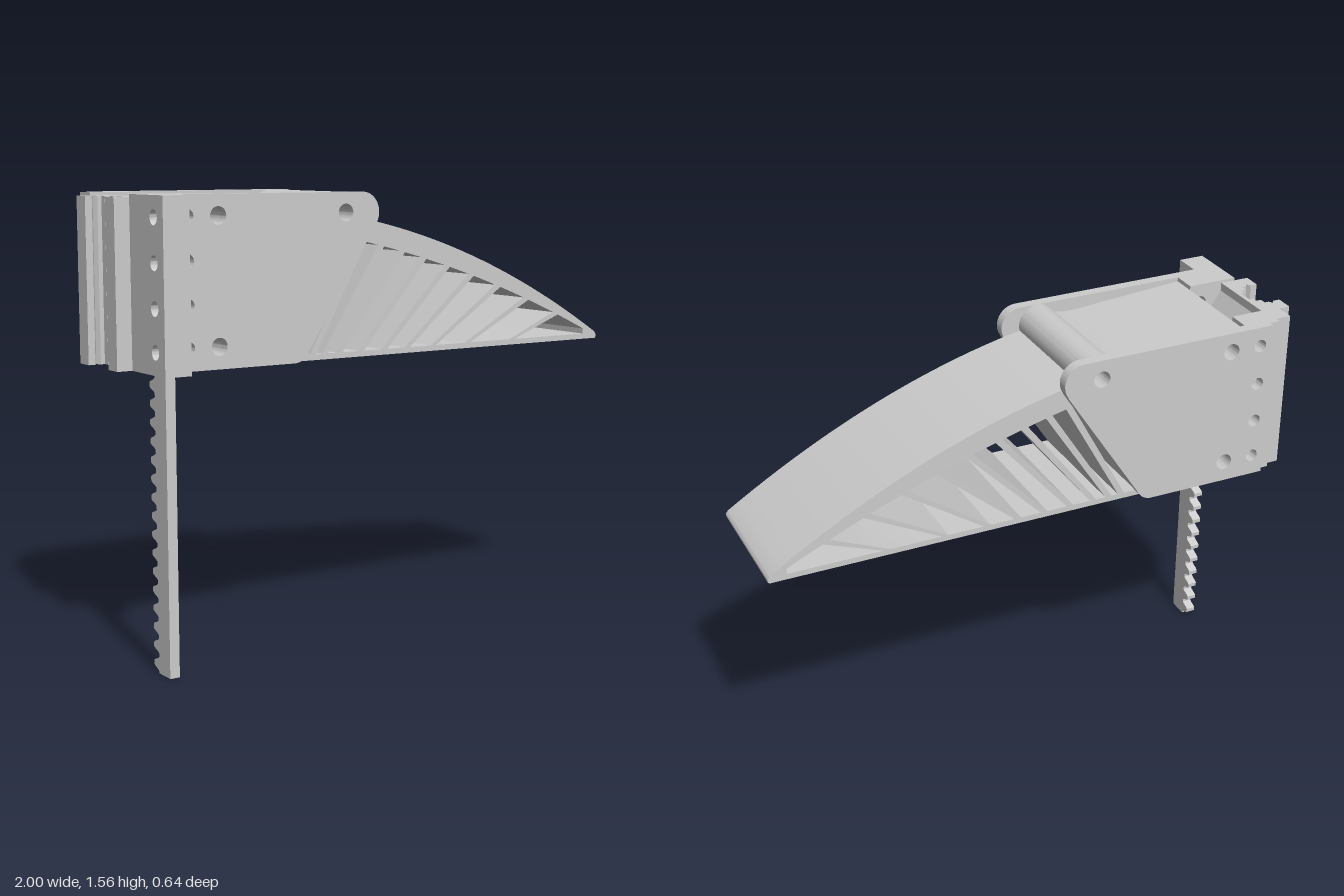
import * as THREE from 'three';
import { toCreasedNormals } from 'three/addons/utils/BufferGeometryUtils.js';

const material = new THREE.MeshStandardMaterial({ color: 0xcccccc });
const BOTTOM = 0.985, TOP = 1.56;
const SCREW_Y = [1.06, 1.2, 1.345, 1.49];

const poly = pts => new THREE.Shape(pts.map(p => new THREE.Vector2(...p)));
const rect = (x0, y0, x1, y1) => poly([[x0, y0], [x1, y0], [x1, y1], [x0, y1]]);
const drill = (shape, x, y, r) => {
  shape.holes.push(new THREE.Path().absarc(x, y, r, 0, Math.PI * 2, true));
  return shape;
};

export function createModel() {
  const group = new THREE.Group();

  // Extrude a shape between two positions along an axis.
  // 'z': shape is (x, y); 'x': shape is (-z, y); 'y': shape is (x, -z)
  function add(name, shape, axis, from, to) {
    let g = new THREE.ExtrudeGeometry(shape, { depth: to - from, bevelEnabled: false, curveSegments: 20 });
    g.translate(0, 0, from);
    if (axis === 'x') g.rotateY(Math.PI / 2);
    if (axis === 'y') g.rotateX(-Math.PI / 2);
    g = toCreasedNormals(g, 0.45);
    const mesh = new THREE.Mesh(g, material);
    mesh.name = name;
    group.add(mesh);
    return mesh;
  }

  // Finger: arched wedge with slanted ribs and a pin boss
  const outer = x => 1.46 - 0.295 * (x + 0.06) - 0.2025 * (x + 0.06) * (x - 0.33);
  const inner = x => 1.39 - 0.27 * (x + 0.1) - 0.128 * (x + 0.1) * (x - 0.27);
  const finger = new THREE.Shape();
  finger.moveTo(-0.76, BOTTOM);
  finger.lineTo(0.99, BOTTOM);
  finger.quadraticCurveTo(1.005, 0.995, 0.985, outer(0.985));
  for (let i = 1; i <= 24; i++) {
    const x = 0.985 - i / 24 * 1.105;
    finger.lineTo(x, outer(x));
  }
  finger.absarc(-0.19, 1.49, 0.07, -0.25, Math.PI * 0.85, false);
  finger.quadraticCurveTo(-0.3, 1.505, -0.42, 1.52);
  finger.lineTo(-0.76, 1.545);
  finger.closePath();
  // rib positions: [x at the floor, x under the arch]
  const ribs = [[-0.37, -0.14], [-0.30, -0.09], [-0.25, -0.015], [-0.19, 0.075], [-0.1, 0.17], [0, 0.275],
    [0.1, 0.385], [0.215, 0.51], [0.37, 0.645], [0.58, 0.79], [0.93, 0.95]];
  const floorY = 1.005;
  for (let i = 0; i < ribs.length - 1; i++) {
    const [b0, t0] = ribs[i], [b1, t1] = ribs[i + 1];
    const last = i === ribs.length - 2;
    const w = 0.012;
    const pts = [[b0 + w, floorY], [last ? b1 : b1 - w, floorY]];
    for (let k = 0; k <= 4; k++) {
      const x = THREE.MathUtils.lerp(last ? 0.93 : t1 - w, t0 + w, k / 4);
      pts.push([x, inner(x)]);
    }
    finger.holes.push(new THREE.Path(pts.map(p => new THREE.Vector2(...p))));
  }
  const pins = [[-0.69, 1.06], [-0.69, 1.49], [-0.19, 1.49]];
  pins.forEach(([x, y]) => drill(finger, x, y, 0.03));
  add('finger', finger, 'z', -0.28, 0.18);

  // Side plates with rounded nose and slanted front edge
  for (const [name, z] of [['frontSidePlate', 0.18], ['backSidePlate', -0.32]]) {
    const plate = new THREE.Shape();
    plate.moveTo(-0.85, BOTTOM);
    plate.lineTo(-0.4, BOTTOM);
    plate.quadraticCurveTo(-0.365, BOTTOM, -0.345, 1.02);
    plate.lineTo(-0.066, 1.445);
    plate.absarc(-0.122, 1.49, 0.07, -0.6, Math.PI / 2, false);
    plate.lineTo(-0.85, TOP);
    plate.closePath();
    pins.forEach(([x, y]) => drill(plate, x, y, 0.03));
    SCREW_Y.forEach(y => drill(plate, -0.805, y, 0.023));
    add(name, plate, 'z', z, z + 0.04);
  }

  // Mounting blocks just inside the side plates
  for (const [name, z0, z1] of [['frontBlock', 0.09, 0.18], ['backBlock', -0.28, -0.2]]) {
    const block = rect(-0.85, BOTTOM, -0.76, TOP);
    [SCREW_Y[1], SCREW_Y[3]].forEach(y => drill(block, -0.805, y, 0.023));
    add(name, block, 'z', z0, z1);
  }

  // Rear flange beside the rack, with counterbored holes
  for (const [r, x0, x1] of [[0.025, -0.945, -0.885], [0.043, -0.885, -0.85]]) {
    const flange = rect(-0.32, BOTTOM, -0.09, TOP);
    SCREW_Y.forEach(y => drill(flange, -0.255, y, r));
    add('rackFlange', flange, 'x', x0, x1);
  }

  // Stepped flange on the far side
  const backFlange = rect(0.2, BOTTOM, 0.28, TOP);
  SCREW_Y.forEach(y => drill(backFlange, 0.24, y, 0.022));
  add('backFlange', backFlange, 'x', -0.945, -0.85);
  add('backFlangeStep', rect(-0.89, 0.28, -0.85, 0.3), 'y', BOTTOM, TOP);

  // Toothed rack
  const teeth = 16, pitch = BOTTOM / teeth;
  const rack = new THREE.Shape();
  rack.moveTo(-0.32, 0);
  rack.lineTo(-0.245, 0);
  for (let i = 0; i < teeth; i++) {
    const y = i * pitch;
    [[-0.245, 0.1], [-0.235, 0.2], [-0.217, 0.3], [-0.21, 0.38], [-0.21, 0.62], [-0.217, 0.7],
      [-0.235, 0.8], [-0.245, 0.9]].forEach(([u, t]) => rack.lineTo(u, y + t * pitch));
  }
  rack.lineTo(-0.245, BOTTOM);
  rack.lineTo(-0.32, BOTTOM);
  rack.closePath();
  add('rack', rack, 'x', -0.945, -0.91);

  // Carriage between the flanges: two notched rails on a web, mirrored about z = -0.05
  const mid = 0.05;
  const half = [[-1, 0.14], [-1, 0.075], [-0.975, 0.075], [-0.965, 0.09], [-0.955, 0.075],
    [-0.94, 0.075], [-0.94, 0.05], [-0.92, 0.05], [-0.92, 0.03], [-0.905, 0.03]];
  const outline = [[-0.89, 0.14], ...half, ...half.map(([x, d]) => [x, -d]).reverse(), [-0.89, -0.14]];
  add('carriage', poly(outline.map(([x, d]) => [x, mid + d])), 'y', BOTTOM, TOP - 0.01);

  // Web with sloped ends tying the carriage to the flanges
  add('carriageWeb', poly([[-0.89, 1.03], [-0.85, 1.08], [-0.85, 1.46], [-0.89, 1.52]]), 'z', -0.2, 0.09);

  return group;
}
